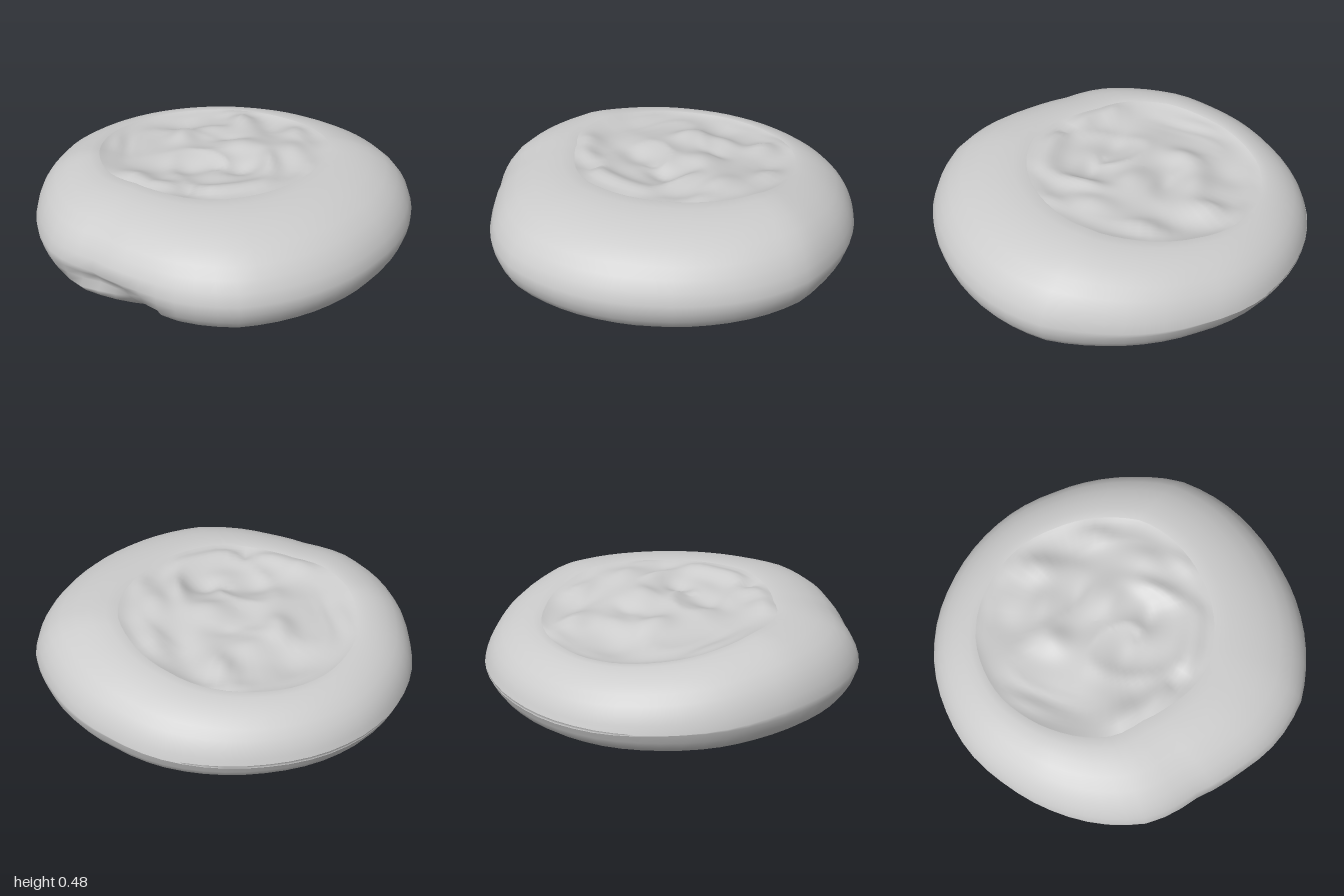
import * as THREE from 'three';

const SEG = 64;
// Uneven outline radius, every 15 degrees from +x towards +z
const OUTLINE = [.985, .975, .96, .955, .965, .98, .998, .98, .945, .94, .995, .995,
  .99, .99, 1.005, 1.01, 1.02, 1.015, 1, .99, .98, .96, .96, .965];

// Periodic interpolation of the outline
function outline(a) {
  const n = OUTLINE.length, t = (a / (2 * Math.PI)) * n, i = Math.floor(t), f = t - i;
  return OUTLINE[i % n] * (1 - f) + OUTLINE[(i + 1) % n] * f;
}

// The top slopes down towards the back and slightly towards -x
const slope = (x, z) =>
  1 + 0.02 * Math.max(0, z) - 0.29 * Math.max(0, -z - 0.08) - 0.05 * Math.max(0, -x);

// Joins rings of points (ring, angle) into one smooth skin
function loft(name, rings, point, material) {
  const pos = [], index = [];
  for (let i = 0; i < rings; i++)
    for (let j = 0; j < SEG; j++) pos.push(...point(i, (j / SEG) * 2 * Math.PI));
  for (let i = 0; i < rings - 1; i++)
    for (let j = 0; j < SEG; j++) {
      const k = (j + 1) % SEG, a = i * SEG + j, b = i * SEG + k;
      index.push(a, a + SEG, b, b, a + SEG, b + SEG);
    }
  const g = new THREE.BufferGeometry();
  g.setAttribute('position', new THREE.Float32BufferAttribute(pos, 3));
  g.setIndex(index);
  g.computeVertexNormals();
  const mesh = new THREE.Mesh(g, material);
  mesh.name = name;
  return mesh;
}

// Plan position; inner rings of the top drift to the off-centre filling
function plan(a, f, onTop) {
  const r = outline(a) * f, s = onTop ? Math.min(1, (1 - f) / 0.4) : 0;
  return [r * Math.cos(a) - 0.05 * s, r * Math.sin(a) - 0.13 * s];
}

// Bun profile: radius fraction and height, from the underside to the inner lip
const BUN = [[0, .008], [.4, .008], [.7, .01], [.83, .019], [.91, .042], [.955, .078],
  [.983, .122], [.998, .17], [1, .215], [.983, .27], [.958, .318], [.925, .362], [.873, .408],
  [.805, .441], [.74, .462], [.67, .473], [.62, .47], [.6, .462]];

function bunPoint(i, a) {
  let [f, y] = BUN[i];
  // Pinched fold above a thin lip low on one side, with a notch beside it
  const pinch = Math.exp(-(((a - 2.25) / 0.22) ** 2)), lip = Math.exp(-(((a - 2.4) / 0.16) ** 2));
  const notch = Math.exp(-(((a - 2.08) / 0.07) ** 2));
  if (i > 4 && i < 8) f -= 0.05 * pinch * Math.sin(((i - 4) / 4) * Math.PI);
  if (i > 2 && i < 6) { f += 0.05 * lip - 0.05 * notch; y += 0.015 * pinch; }
  const [x, z] = plan(a, f, i > 8);
  return [x, i > 7 ? y * slope(x, z) : y, z];
}

// Folds and hollows of the filling: x, z, radius along x, radius along z, height
const LUMPS = [
  [-.48, .22, .09, .09, .055], [-.34, .32, .11, .07, .05], [-.03, .38, .16, .07, .045],
  [.14, .34, .1, .08, .03], [-.2, .37, .035, .06, -.03], [.43, .2, .06, .09, .045],
  [.34, .33, .07, .06, .03], [.36, .0, .08, .14, .03], [.13, -.55, .07, .12, .05],
  [-.05, -.42, .12, .07, .03], [-.22, -.3, .08, .1, .045], [-.2, -.58, .09, .12, -.02],
  [.28, -.4, .07, .12, -.025], [.42, -.32, .06, .1, .035], [-.5, -.12, .08, .22, -.03],
  [-.57, -.3, .04, .14, .02], [.05, .12, .1, .06, -.035], [-.2, .08, .14, .08, -.03],
  [.08, -.12, .12, .09, .03], [.22, .1, .05, .14, .03], [.02, -.27, .1, .05, -.02],
  [.1, -.7, .09, .05, .03]];

const FILL_RINGS = 28;
function fillingPoint(i, a) {
  const t = 1 - i / (FILL_RINGS - 1);
  const [x, z] = plan(a, 0.615 * t, true);
  // Lumps and creased wrinkles fade out where the filling meets the bun
  const fade = 1 - t ** 10;
  let bumps = -0.022;
  for (const [lx, lz, rx, rz, h] of LUMPS)
    bumps += h * Math.exp(-(((x - lx) / rx) ** 2) - ((z - lz) / rz) ** 2);
  const swirl = Math.atan2(z - 0.1, x + 0.05) + 16 * Math.hypot(x + 0.05, z - 0.1);
  bumps += 0.016 * (0.5 - Math.abs(Math.sin(swirl / 2 + Math.sin(9 * x - 5 * z))));
  return [x, Math.min(0.469 * slope(x, z) + bumps * fade, 0.5), z];
}

export function createModel() {
  const material = new THREE.MeshStandardMaterial({ color: 0xcccccc, side: THREE.DoubleSide });
  const model = new THREE.Group();
  model.name = 'filledBun';
  model.add(loft('bun', BUN.length, bunPoint, material));
  model.add(loft('filling', FILL_RINGS, fillingPoint, material));
  return model;
}
